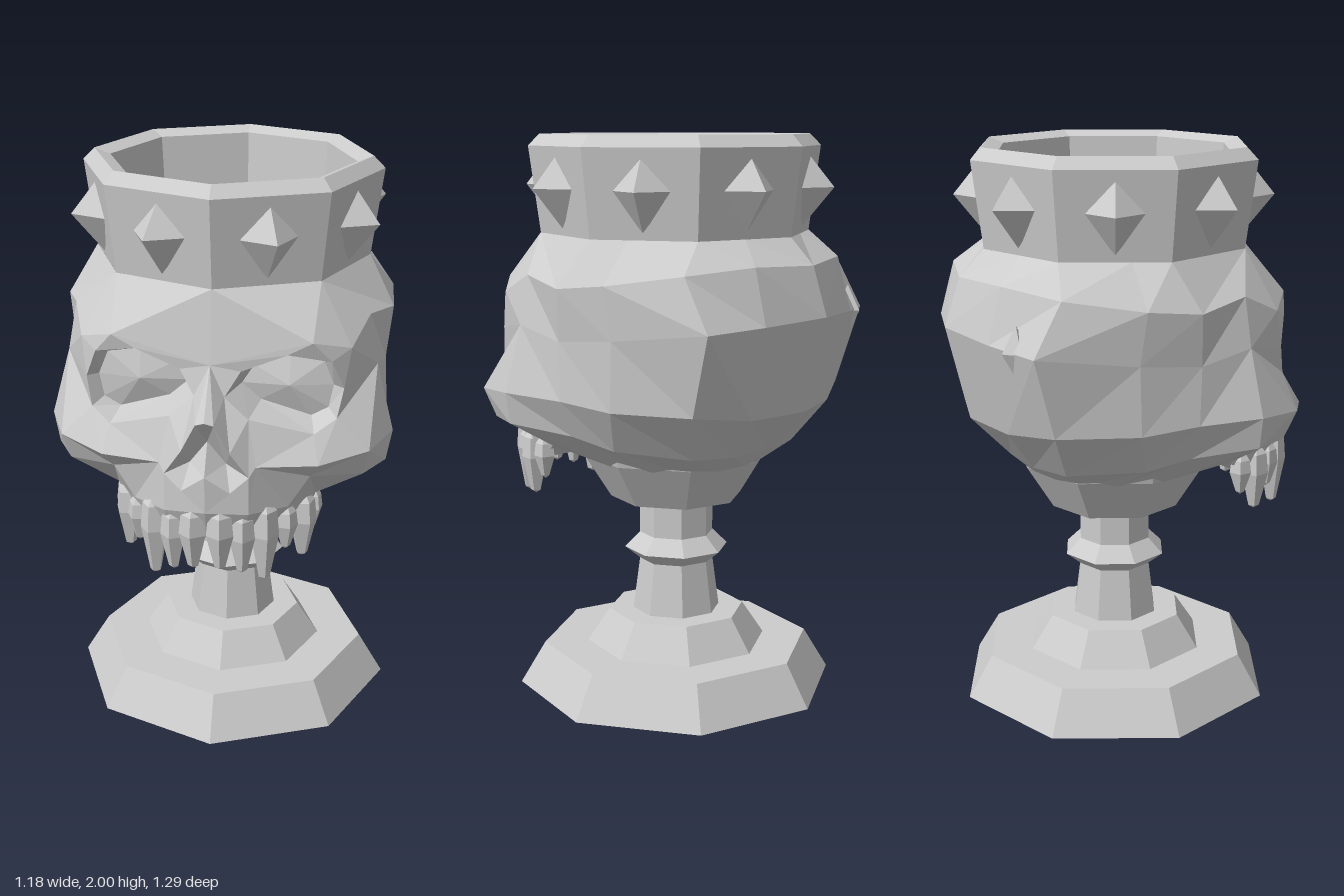
import * as THREE from 'three';

const stone = new THREE.MeshStandardMaterial({ color: 0xcccccc, flatShading: true, side: THREE.DoubleSide });
stone.name = 'pale stone';
const AXIS_Z = -0.02;

function add(group, name, geometry, x = 0, y = 0, z = 0) {
  const mesh = new THREE.Mesh(geometry, stone);
  mesh.name = name;
  mesh.position.set(x, y, z);
  group.add(mesh);
  return mesh;
}

const lathe = (profile, sides = 8) =>
  new THREE.LatheGeometry(profile.map(([r, y]) => new THREE.Vector2(r, y)), sides);

// Mirrored faceted shell: each polygon is fanned and turned away from the centre
function mirroredShell(polygons, centre) {
  const out = [];
  const tri = (a, b, c) => {
    const n = b.clone().sub(a).cross(c.clone().sub(a));
    const m = a.clone().add(b).add(c).divideScalar(3).sub(centre);
    const order = n.dot(m) < 0 ? [a, c, b] : [a, b, c];
    order.forEach(p => out.push(p.x, p.y, p.z));
  };
  for (const side of [1, -1]) {
    for (const poly of polygons) {
      const p = poly.map(([x, y, z]) => new THREE.Vector3(x * side, y, z));
      for (let i = 1; i < p.length - 1; i++) tri(p[0], p[i], p[i + 1]);
    }
  }
  const geometry = new THREE.BufferGeometry();
  geometry.setAttribute('position', new THREE.Float32BufferAttribute(out, 3));
  geometry.computeVertexNormals();
  return geometry;
}

// Half cross-sections of the cranium, from the temple round to the back
const rows = [
  [[.34, 1.66, .32], [.48, 1.66, -.02], [.43, 1.66, -.14], [.34, 1.66, -.36], [.17, 1.66, -.43], [0, 1.66, -.5]],
  [[.50, 1.53, .24], [.57, 1.50, .05], [.56, 1.52, -.14], [.47, 1.56, -.40], [.26, 1.58, -.53], [0, 1.57, -.59]],
  [[.53, 1.36, .25], [.55, 1.32, .06], [.545, 1.34, -.16], [.48, 1.38, -.50], [.27, 1.39, -.58], [0, 1.40, -.645]],
  [[.59, 1.13, .27], [.56, 1.12, .05], [.54, 1.10, -.15], [.45, 1.10, -.42], [.24, 1.07, -.51], [0, 1.07, -.565]],
  [[.57, 1.02, .27], [.50, .99, .05], [.46, .95, -.10], [.34, .93, -.34], [.18, .92, -.40], [0, .92, -.42]],
  [[.34, .90, .28], [.31, .85, .03], [.29, .85, -.13], [.21, .84, -.23], [.12, .84, -.29], [0, .84, -.33]],
];

function craniumPolygons() {
  const polys = [];
  for (let r = 0; r < rows.length - 1; r++)
    for (let c = 0; c < rows[r].length - 1; c++)
      polys.push([rows[r][c], rows[r][c + 1], rows[r + 1][c + 1], rows[r + 1][c]]);
  return polys;
}

// Half of the face: rim of the eye socket, brow, cheek, nose opening and gum
function facePolygons() {
  const [f1, a1, a2, a3, a4, a5] = rows.map(r => r[0]);
  const s = [[.05, 1.32, .53], [.10, 1.40, .50], [.25, 1.46, .49], [.39, 1.43, .45],
    [.43, 1.33, .42], [.41, 1.23, .44], [.34, 1.19, .49], [.13, 1.25, .54]];
  const f0 = [0, 1.66, .46], g = [0, 1.42, .51], h = [.33, 1.50, .48], h2 = [.45, 1.46, .39];
  const c1 = [.52, 1.12, .44], c2 = [.36, 1.10, .54], m = [.16, 1.10, .58];
  const d1 = [.50, 1.02, .40], d2 = [.33, 1.04, .49];
  const gum = [[.34, .93, .38], [.26, .93, .50], [.14, .94, .605], [0, .95, .635]];
  const [e1, e2, e3, e4] = gum;
  const n = [0, 1.27, .64], n0 = [.03, 1.26, .635], n1 = [.08, 1.16, .62], n2 = [.14, 1.07, .60];
  const n3 = [.08, 1.02, .62], n4 = [0, 1.08, .64];
  const r = [.06, 1.10, .56], r0 = [0, 1.18, .57];
  const polys = [
    [f0, h, g], [f0, f1, h], [f1, a1, h2, h],
    [g, h, s[2], s[1]], [g, s[1], s[0]], [g, s[0], n0, n], [h, h2, s[3], s[2]],
    [h2, a1, a2], [h2, a2, s[4], s[3]], [a2, c1, s[5], s[4]], [a2, a3, c1],
    [s[5], c1, c2, s[6]], [s[6], c2, m, s[7]], [s[7], m, n2, n1], [s[0], s[7], n1, n0],
    [c1, a3, a4, d1], [c1, d1, d2, c2], [c2, d2, m],
    [a4, a5, e1, d1], [d1, e1, d2], [d2, e1, e2, m], [m, e2, e3, n2], [n2, e3, e4, n3], [n3, e4, n4],
    [n, n0, r0], [n0, r, r0], [n0, n1, r], [n1, n2, r], [n2, n3, r], [n3, n4, r], [r, n4, r0],
  ];
  // sunken eye socket
  const k = [.25, 1.33, .42];
  const inner = s.map(([x, y]) => [x + (k[0] - x) * .2, y + (k[1] - y) * .2, .39]);
  s.forEach((p, i) => {
    const j = (i + 1) % s.length;
    polys.push([p, s[j], inner[j], inner[i]], [inner[i], inner[j], k]);
  });
  // gum ridge behind the teeth, and the palate
  const ridge = gum.map(([x, , z]) => [x * .92, .84, z * .93]);
  gum.slice(1).forEach((p, i) => polys.push([gum[i], p, ridge[i + 1], ridge[i]]));
  polys.push([a5, e1, ridge[0]], [[0, .87, .2], ...[...ridge].reverse(), a5]);
  return polys;
}

export function createModel() {
  const goblet = new THREE.Group();
  goblet.name = 'skullGoblet';

  // Stepped foot, stem with a ring, and the cup underside
  add(goblet, 'foot', lathe([[0, 0], [.58, 0], [.49, .15], [.33, .15], [.25, .27], [.16, .27]]), 0, 0, AXIS_Z);
  add(goblet, 'stem', lathe([[.16, .27], [.135, .46], [.19, .505], [.135, .56], [.135, .69]]), 0, 0, AXIS_Z);
  add(goblet, 'cupUnderside', lathe([[.135, .69], [.24, .70], [.34, .86], [.35, .90]]), 0, 0, AXIS_Z);

  // Crown band and hollow inside
  add(goblet, 'crown', lathe([[.48, 1.66], [.52, 1.96], [.48, 2], [.425, 1.98]]), 0, 0, AXIS_Z);
  add(goblet, 'cupInside', lathe([[.425, 1.98], [.40, 1.66], [.33, 1.3], [.23, 1.1], [0, 1.1]]), 0, 0, AXIS_Z);

  // Studs: four-sided pyramids, one in the middle of each crown face
  const studShape = new THREE.ConeGeometry(1, 1, 4, 1, true).translate(0, .5, 0).rotateX(Math.PI / 2);
  for (let i = 0; i < 8; i++) {
    const a = (i + .5) * Math.PI / 4;
    const stud = add(goblet, 'crownStud', studShape, Math.sin(a) * .45, 1.82, AXIS_Z + Math.cos(a) * .45);
    stud.scale.set(.11, .135, .11);
    stud.rotation.y = a;
  }

  // Skull
  const centre = new THREE.Vector3(0, 1.2, 0);
  add(goblet, 'cranium', mirroredShell(craniumPolygons(), centre));
  add(goblet, 'face', mirroredShell(facePolygons(), centre));
  add(goblet, 'boneChip', new THREE.OctahedronGeometry(1), -.36, 1.38, -.515).scale.set(.05, .09, .05);

  // Upper teeth along the gum: x, z, tip height, gum height, half width
  const teeth = [[.045, .60, .73, .93, .048], [.115, .575, .71, .91, .045], [.185, .535, .67, .93, .05],
    [.25, .475, .76, .90, .042], [.30, .40, .70, .91, .05], [.325, .33, .77, .90, .04]];
  for (const side of [1, -1]) {
    for (const [x, z, tip, top, w] of teeth) {
      const h = top - tip;
      const tooth = add(goblet, 'tooth',
        lathe([[0, 0], [w * .4, .012], [w, h * .65], [w * .85, h], [0, h + .05]], 5), side * x, tip, z);
      tooth.rotation.y = side * Math.atan2(x, z);
    }
  }
  return goblet;
}
